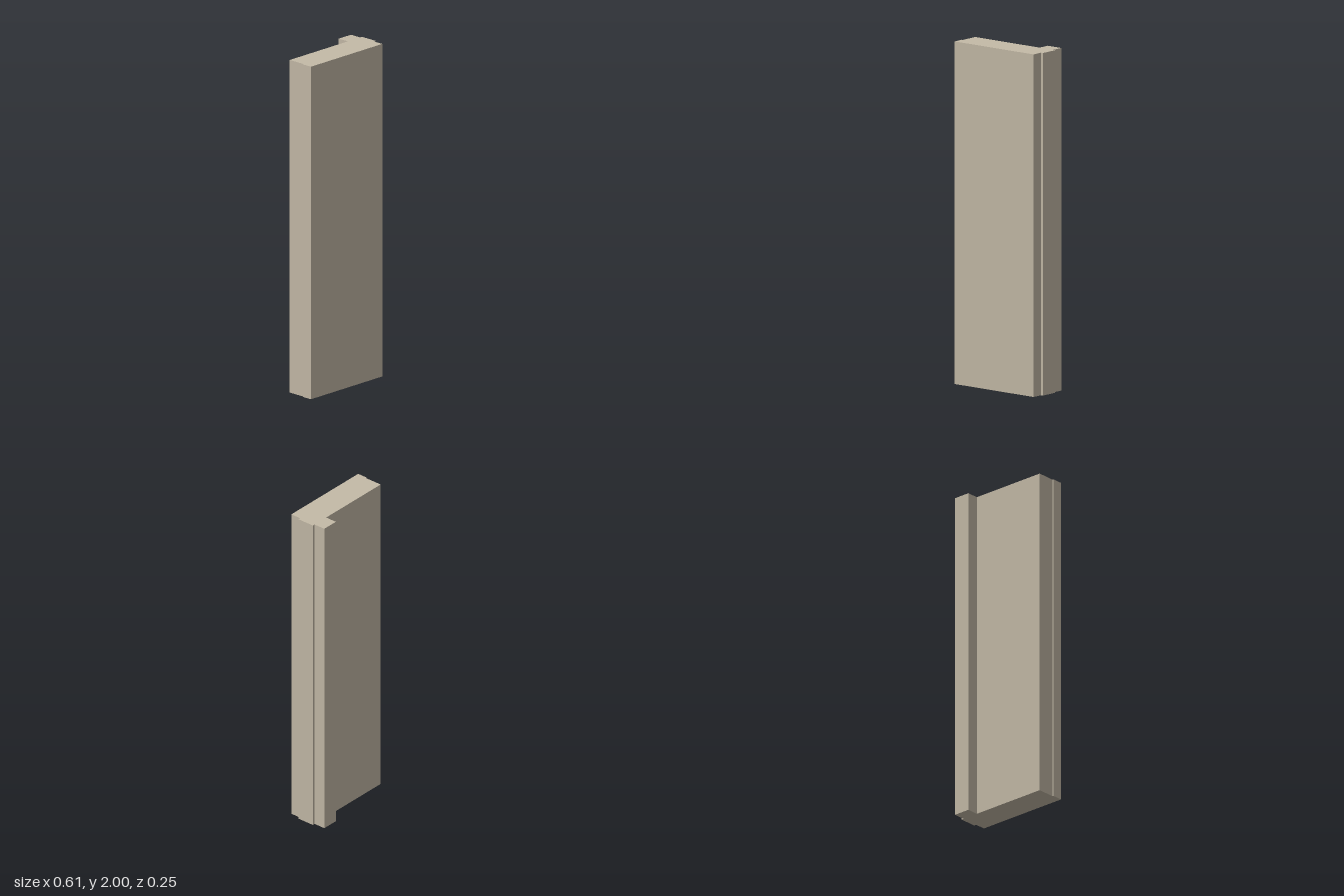
import * as THREE from 'three';

const HEIGHT = 2;

// Plan outline as [x, z]: panel, rear rib, side tongue and front lip
const OUTLINE = [
  [-0.303, 0.124], [0.288, 0.124], [0.288, 0.057], [0.303, 0.057],
  [0.303, -0.051], [0.288, -0.051], [0.288, -0.124], [0.186, -0.124],
  [0.186, -0.051], [-0.296, -0.051], [-0.296, 0.06], [-0.303, 0.06],
];

export function createModel() {
  const group = new THREE.Group();
  group.name = 'jambProfile';

  const stone = new THREE.MeshStandardMaterial({ color: 0xc4baa7 });
  stone.name = 'warm beige';

  // The outline extruded straight up
  const shape = new THREE.Shape(OUTLINE.map(([x, z]) => new THREE.Vector2(x, -z)));
  const geometry = new THREE.ExtrudeGeometry(shape, { depth: HEIGHT, bevelEnabled: false });
  geometry.rotateX(-Math.PI / 2);

  const panel = new THREE.Mesh(geometry, stone);
  panel.name = 'rebatedPanel';
  group.add(panel);
  return group;
}
